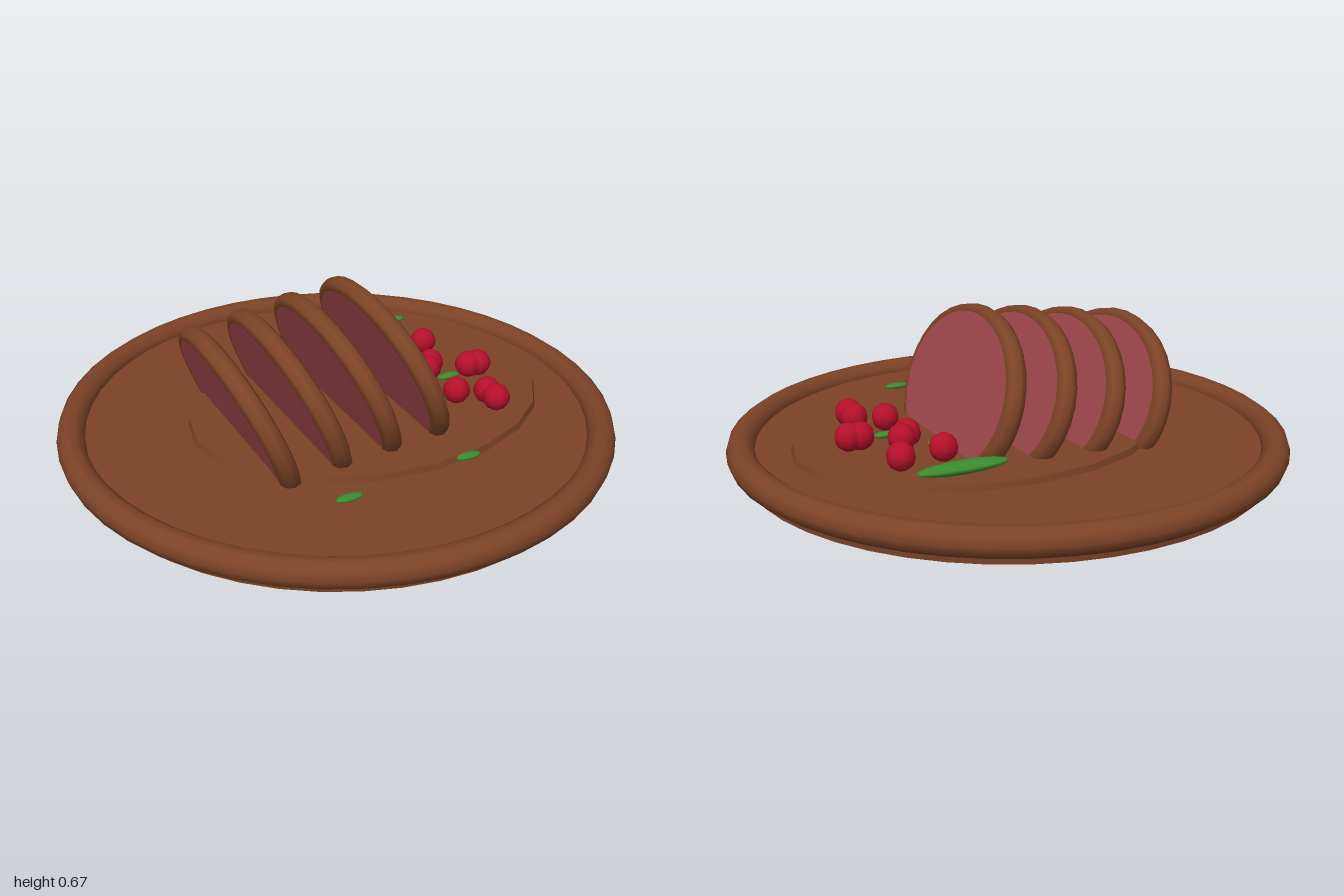
import * as THREE from 'three';

const mat = (name, color) => {
  const m = new THREE.MeshStandardMaterial({ color });
  m.name = name;
  return m;
};

export function createModel() {
  const brown = mat('roasted brown', 0x7c4326);
  const meat = mat('rare meat pink', 0xa0484b);
  const red = mat('berry red', 0xb5102a);
  const green = mat('herb green', 0x3c8c30);

  const model = new THREE.Group();
  model.name = 'slicedRoastPlatter';

  const add = (parent, name, geometry, material, x = 0, y = 0, z = 0) => {
    const mesh = new THREE.Mesh(geometry, material);
    mesh.name = name;
    mesh.position.set(x, y, z);
    parent.add(mesh);
    return mesh;
  };

  // Round board with a raised rim
  add(model, 'plateBase', new THREE.CylinderGeometry(0.95, 0.945, 0.08, 48), brown, 0, 0.165, 0);
  add(model, 'plateRim', new THREE.TorusGeometry(0.95, 0.05, 10, 48).rotateX(Math.PI / 2), brown, 0, 0.2, 0);

  // Oval pool of sauce
  const pool = add(model, 'saucePool', new THREE.CylinderGeometry(0.985, 1, 0.03, 20), brown, 0.125, 0.212, 0);
  pool.scale.set(0.675, 1, 0.51);

  // Leaning oval slices: a crust ring around a meat disc
  const crustGeo = new THREE.TorusGeometry(0.38, 0.037, 8, 32).rotateY(Math.PI / 2);
  const meatGeo = new THREE.CylinderGeometry(0.377, 0.377, 0.068, 32).rotateZ(Math.PI / 2);
  for (let i = 0; i < 4; i++) {
    const slice = new THREE.Group();
    slice.name = `slice${i + 1}`;
    slice.position.set(-0.385 + 0.19 * i, 0.308 + 0.025 * i, 0);
    slice.rotation.z = 0.35;
    slice.scale.y = 0.75;
    add(slice, 'crust', crustGeo, brown);
    add(slice, 'meatFace', meatGeo, meat);
    model.add(slice);
  }

  // Berries scattered beside the slices
  const berryGeo = new THREE.SphereGeometry(0.05, 10, 8);
  [[0.35, -0.22], [0.51, -0.24], [0.44, -0.07], [0.405, -0.03], [0.56, 0.01],
    [0.6, 0.015], [0.41, 0.165], [0.51, 0.215], [0.51, 0.275]]
    .forEach(([x, z], i) => add(model, `berry${i + 1}`, berryGeo, red, x, 0.272, z));

  // Herb leaves: one large, four small, tapering along x
  const leafGeo = new THREE.SphereGeometry(1, 10, 8).rotateZ(Math.PI / 2);
  [[0.38, 0.283, -0.445, 0.16, 0.02, 0.041], [0.32, 0.255, -0.12, 0.048, 0.011, 0.02],
    [0.46, 0.255, 0.03, 0.046, 0.011, 0.02], [-0.255, 0.258, 0.59, 0.048, 0.011, 0.02],
    [0.215, 0.258, 0.55, 0.046, 0.011, 0.02]]
    .forEach(([x, y, z, sx, sy, sz], i) =>
      add(model, `herbLeaf${i + 1}`, leafGeo, green, x, y, z).scale.set(sx, sy, sz));

  return model;
}
